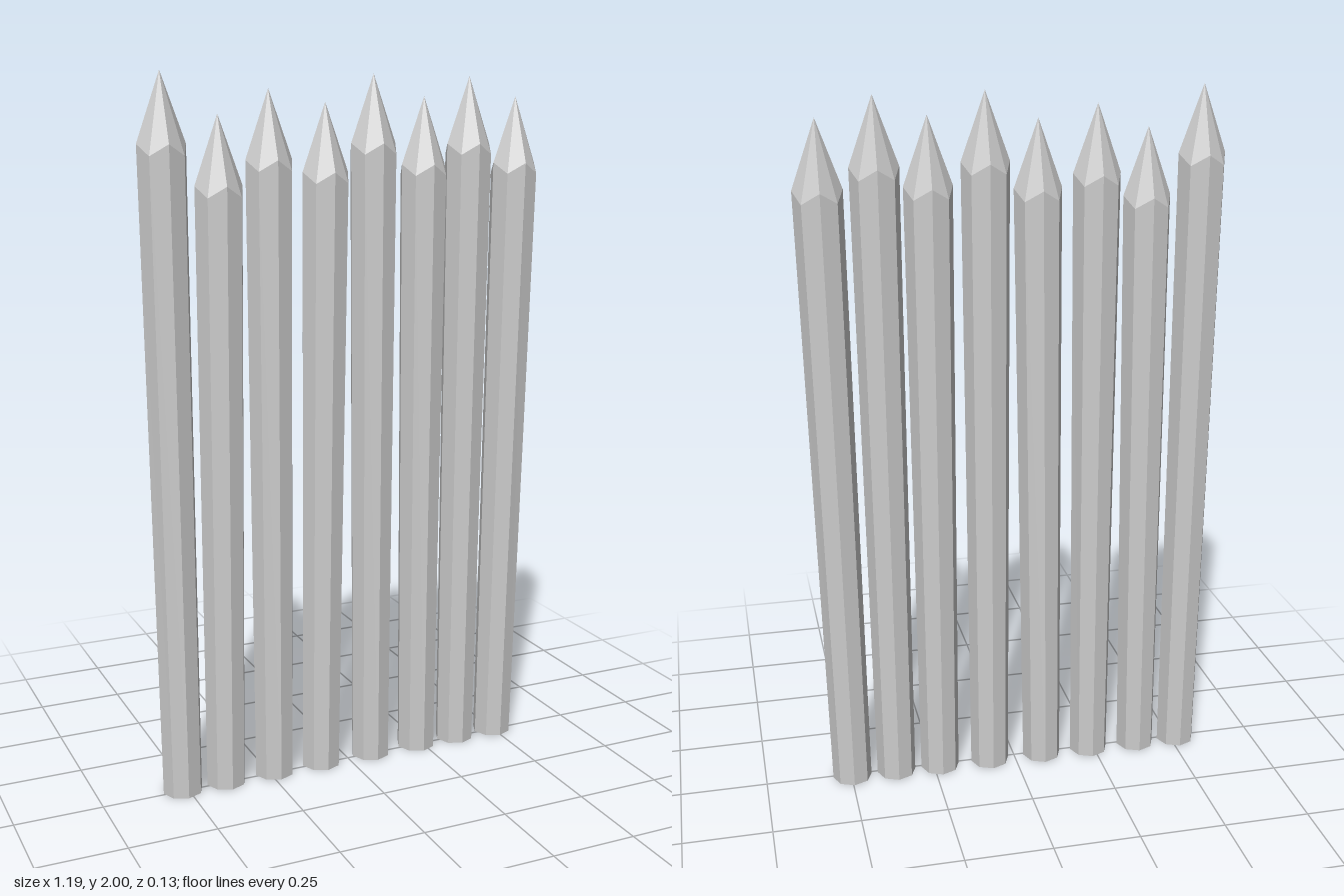
import * as THREE from 'three';

const BASE_RADIUS = 0.057, SHOULDER_RADIUS = 0.067, BASE_Z = -0.007;

// One sharpened eight-sided stake, leaning from its base centre to its tip
function stakeGeometry(baseX, topX, shoulderY, tipY) {
  // Unit profile: level 0 = base, level 1 = shoulder, level 2 = tip
  const profile = [[0, 0], [1, 0], [1, 1], [0, 2]].map(([r, y]) => new THREE.Vector2(r, y));
  const geometry = new THREE.LatheGeometry(profile, 8);
  const p = geometry.attributes.position;
  for (let i = 0; i < p.count; i++) {
    const x = p.getX(i), z = p.getZ(i), level = Math.round(p.getY(i));
    if (level === 0) {
      p.setXYZ(i, baseX + x * BASE_RADIUS, 0, BASE_Z + z * BASE_RADIUS);
    } else if (level === 1) {
      // Diagonal corners of the shoulder are cut a little lower
      const diagonal = Math.abs(x * z) > 0.25;
      p.setXYZ(i, topX + x * SHOULDER_RADIUS, shoulderY - (diagonal ? 0.03 : 0), z * SHOULDER_RADIUS);
    } else {
      p.setXYZ(i, topX, tipY, 0);
    }
  }
  geometry.computeVertexNormals();
  return geometry;
}

export function createModel() {
  const group = new THREE.Group();
  group.name = 'palisade';
  const material = new THREE.MeshStandardMaterial({ color: 0xcccccc, flatShading: true });

  // Base x, top x, shoulder height, tip height
  const stakes = [
    [-0.515, -0.528, 1.815, 2.0],
    [-0.384, -0.374, 1.705, 1.89],
    [-0.234, -0.231, 1.77, 1.955],
    [-0.085, -0.067, 1.735, 1.92],
    [0.077, 0.077, 1.81, 1.995],
    [0.231, 0.232, 1.75, 1.935],
    [0.364, 0.374, 1.805, 1.99],
    [0.497, 0.524, 1.75, 1.935],
  ];
  stakes.forEach((s, i) => {
    const mesh = new THREE.Mesh(stakeGeometry(...s), material);
    mesh.name = `stake${i + 1}`;
    group.add(mesh);
  });
  return group;
}
